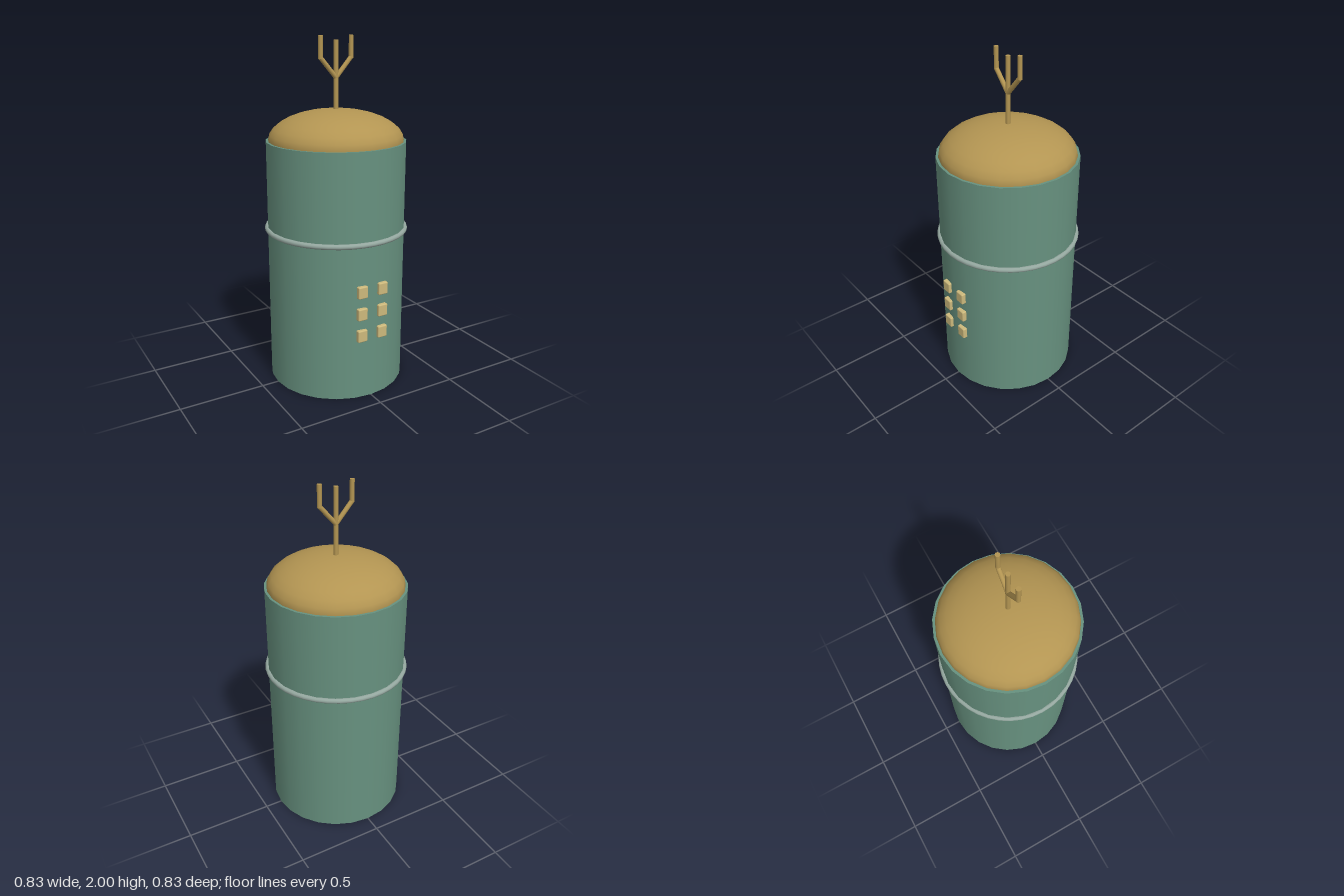
import * as THREE from 'three';
import { RoundedBoxGeometry } from 'three/addons/geometries/RoundedBoxGeometry.js';

const material = (name, color) => {
  const m = new THREE.MeshStandardMaterial({ color });
  m.name = name;
  return m;
};

export function createModel() {
  const group = new THREE.Group();
  const teal = material('teal', 0x67917f);
  const gold = material('gold', 0xb39552);
  const silver = material('silver', 0x95a8a0);
  const cream = material('cream', 0xcdb97c);

  const add = (name, geometry, mat, x = 0, y = 0, z = 0) => {
    const mesh = new THREE.Mesh(geometry, mat);
    mesh.name = name;
    mesh.position.set(x, y, z);
    group.add(mesh);
    return mesh;
  };

  // Round rod between two points in the x-y plane
  const rod = (name, x1, y1, x2, y2) => {
    const length = Math.hypot(x2 - x1, y2 - y1);
    const mesh = add(name, new THREE.CylinderGeometry(0.013, 0.013, length, 12), gold,
      (x1 + x2) / 2, (y1 + y2) / 2);
    mesh.rotation.z = -Math.atan2(x2 - x1, y2 - y1);
  };

  // Body with a domed lid
  add('body', new THREE.CylinderGeometry(0.4, 0.4, 1.425, 24), teal, 0, 0.7125);
  const dome = add('dome', new THREE.SphereGeometry(0.386, 24, 16), gold, 0, 1.425);
  dome.scale.y = 0.175 / 0.386;

  // Band around the middle
  const band = add('band', new THREE.TorusGeometry(0.402, 0.015, 10, 40), silver, 0, 0.915);
  band.rotation.x = Math.PI / 2;

  // Three-pronged antenna
  rod('antennaStem', 0, 1.57, 0, 1.975);
  for (const [side, s] of [['left', 1], ['right', -1]]) {
    rod(side + 'AntennaBranch', 0, 1.772, s * 0.097, 1.882);
    rod(side + 'AntennaProng', s * 0.097, 1.876, s * 0.097, 2);

    // Column of buttons on the front
    for (const y of [0.387, 0.517, 0.647]) {
      add(side + 'Button', new RoundedBoxGeometry(0.06, 0.07, 0.03, 2, 0.007), cream, s * 0.065, y, 0.399);
    }
  }
  return group;
}
